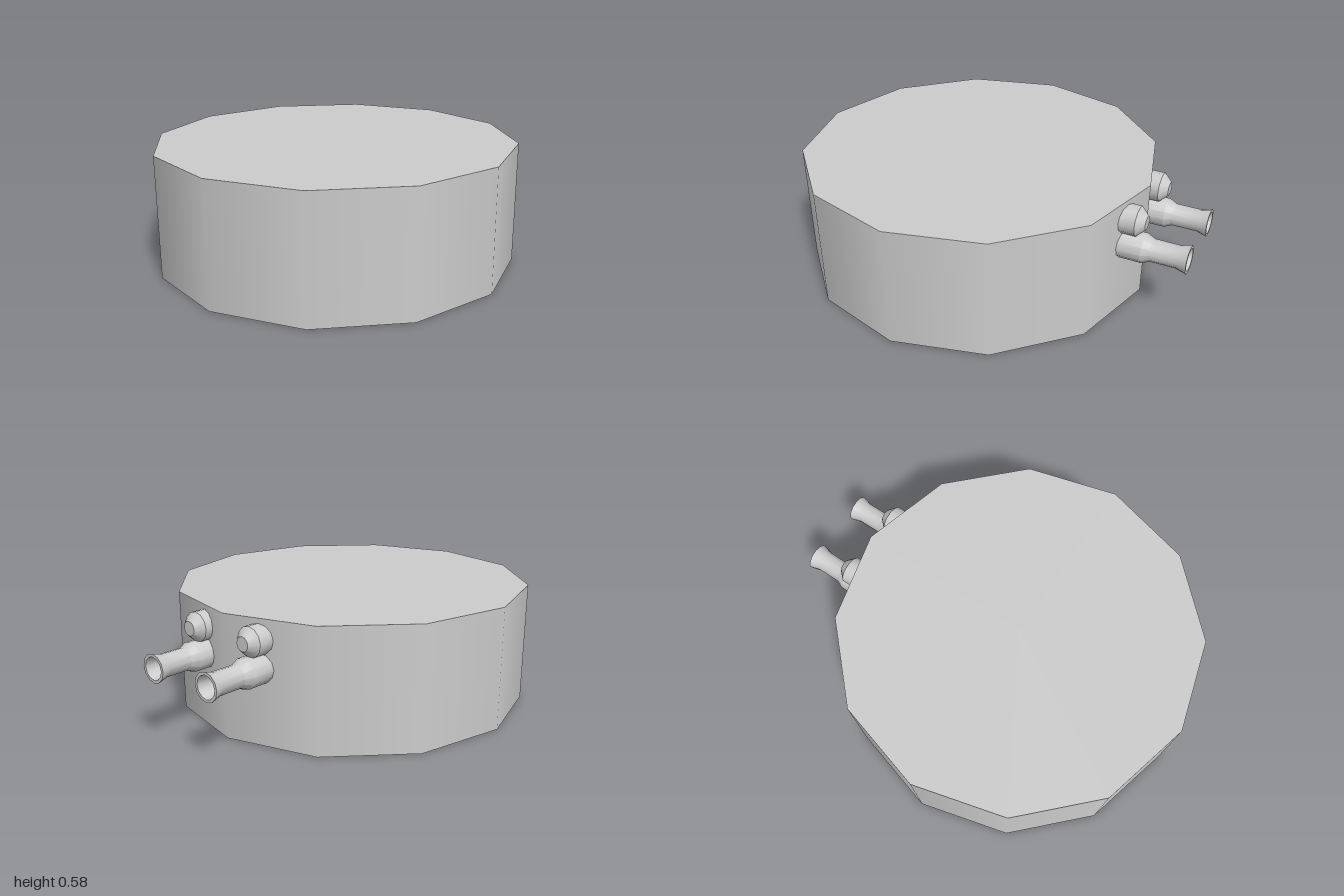
import * as THREE from 'three';
import { toCreasedNormals } from 'three/addons/utils/BufferGeometryUtils.js';

const SIDES = 12;
const RADIUS = 0.873, HEIGHT = 0.585, DRUM_Z = 0.126;

// Turned part running backwards along -z; profile points are [radius, distance behind centre]
function turned(name, profile, material) {
  const points = profile.map(([r, d]) => new THREE.Vector2(r, d));
  const geometry = new THREE.LatheGeometry(points, SIDES);
  geometry.rotateX(-Math.PI / 2);
  const mesh = new THREE.Mesh(toCreasedNormals(geometry, 0.6), material);
  mesh.name = name;
  return mesh;
}

export function createModel() {
  const model = new THREE.Group();
  model.name = 'drumWithHosePorts';
  const grey = new THREE.MeshStandardMaterial({ color: 0xcccccc });
  const thin = new THREE.MeshStandardMaterial({ color: 0xcccccc, side: THREE.DoubleSide });

  // Twelve-sided drum, closed on top and open underneath
  const drum = new THREE.Group();
  drum.name = 'drum';
  drum.position.z = DRUM_Z;
  const wall = new THREE.Mesh(new THREE.CylinderGeometry(RADIUS, RADIUS, HEIGHT, SIDES, 1, true), thin);
  wall.name = 'drumWall';
  wall.position.y = HEIGHT / 2;
  const lid = new THREE.Mesh(new THREE.CircleGeometry(RADIUS, SIDES), thin);
  lid.name = 'drumTop';
  lid.rotation.x = -Math.PI / 2;
  lid.position.y = HEIGHT;
  drum.add(wall, lid);
  model.add(drum);

  // Flared, hollow hose nozzle
  const nozzle = [
    [0, 0.67], [0.07, 0.67], [0.07, 0.795], [0.053, 0.832], [0.053, 0.95],
    [0.067, 1.0], [0.053, 1.0], [0.042, 0.95], [0.042, 0.84], [0, 0.84],
  ];
  // Bevelled knob above it
  const knob = [[0, 0.67], [0.07, 0.67], [0.07, 0.757], [0.034, 0.795], [0, 0.795]];

  // A nozzle and knob on each side of the rear corner
  for (const side of [1, -1]) {
    const port = new THREE.Group();
    port.name = side > 0 ? 'leftPort' : 'rightPort';
    port.position.x = side * 0.17;
    const pipe = turned('hoseNozzle', nozzle, grey);
    pipe.position.y = 0.361;
    const cap = turned('valveKnob', knob, grey);
    cap.position.y = 0.492;
    port.add(pipe, cap);
    model.add(port);
  }
  return model;
}
